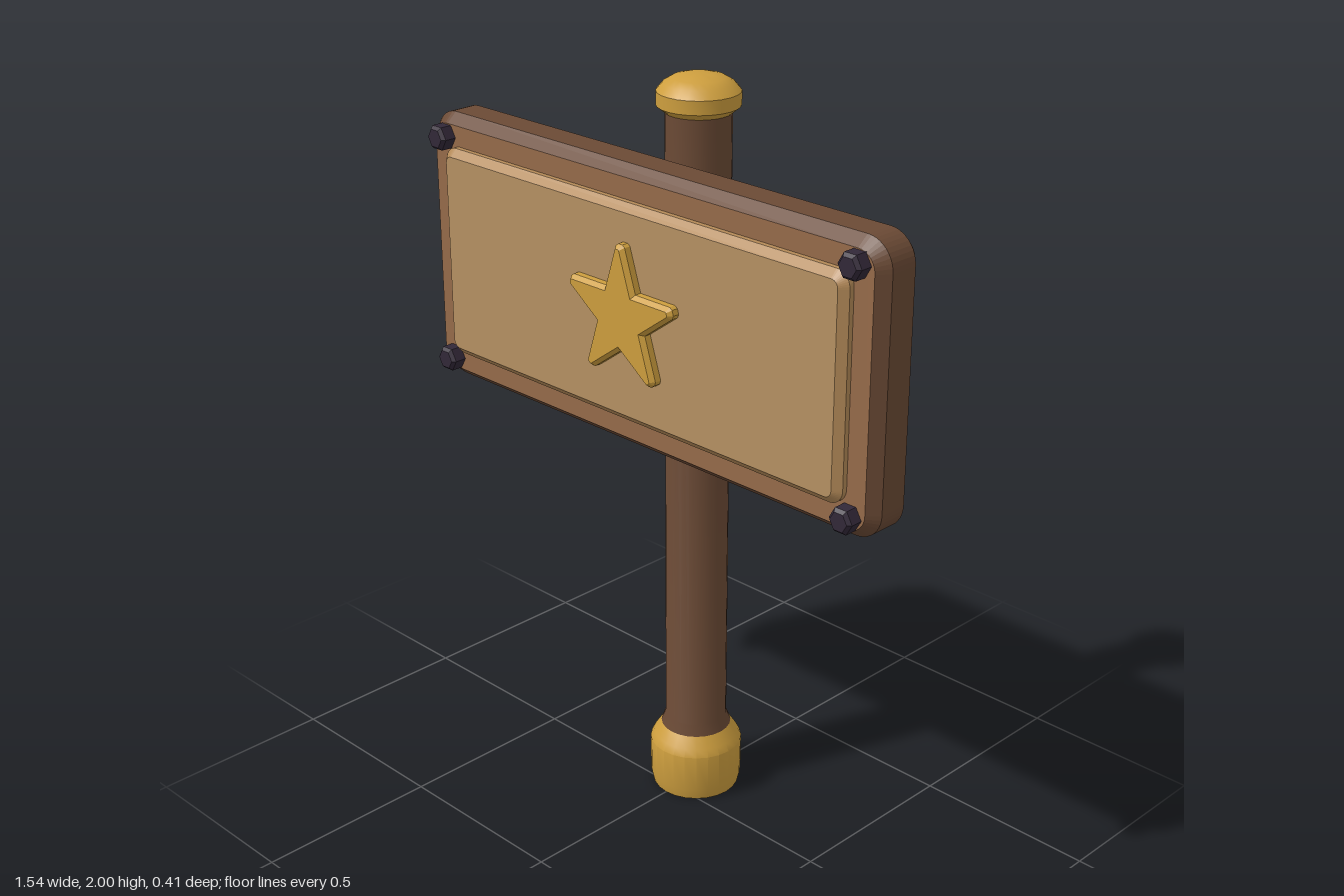
import * as THREE from 'three';
import { toCreasedNormals } from 'three/addons/utils/BufferGeometryUtils.js';

const flat = (name, color) => {
  const m = new THREE.MeshStandardMaterial({ color });
  m.name = name;
  return m;
};

function roundedRect(w, h, r) {
  const x = w / 2, y = h / 2, s = new THREE.Shape();
  s.absarc(x - r, y - r, r, 0, Math.PI / 2);
  s.absarc(-x + r, y - r, r, Math.PI / 2, Math.PI);
  s.absarc(-x + r, -y + r, r, Math.PI, Math.PI * 1.5);
  s.absarc(x - r, -y + r, r, Math.PI * 1.5, Math.PI * 2);
  s.closePath();
  return s;
}

// Five-pointed star with blunted tips
function starShape(outer, inner, blunt) {
  const at = (r, a) => new THREE.Vector2(Math.cos(a) * r, Math.sin(a) * r);
  const pts = [];
  for (let i = 0; i < 5; i++) {
    const a = Math.PI / 2 + (i * Math.PI * 2) / 5;
    const side = Math.atan2(blunt, outer);
    pts.push(at(outer * 0.97, a - side * 1.3), at(outer, a - side * 0.6));
    pts.push(at(outer, a + side * 0.6), at(outer * 0.97, a + side * 1.3));
    pts.push(at(inner, a + Math.PI / 5));
  }
  return new THREE.Shape(pts);
}

// Plate from z0 to z1 whose chamfers stay inside the outline
function plate(shape, z0, z1, chamfer, chamferDepth) {
  const geo = new THREE.ExtrudeGeometry(shape, {
    depth: z1 - z0 - 2 * chamferDepth, bevelEnabled: true, bevelSegments: 1,
    bevelSize: chamfer, bevelOffset: -chamfer, bevelThickness: chamferDepth, curveSegments: 5,
  });
  return geo.translate(0, 0, z0 + chamferDepth);
}

function turned(points, segments) {
  const geo = new THREE.LatheGeometry(points.map(([r, y]) => new THREE.Vector2(r, y)), segments);
  return toCreasedNormals(geo, 0.5);
}

export function createModel() {
  const darkWood = flat('dark wood', 0x6b4a35);
  const wood = flat('wood', 0x966b4a);
  const paleWood = flat('pale wood', 0xb69162);
  const paleEdge = flat('pale wood edge', 0xb48a58);
  const gold = flat('gold', 0xcd9e3e);
  const iron = flat('dark iron', 0x322838);

  const model = new THREE.Group();
  model.name = 'signpost';
  const add = (name, geo, mat, x = 0, y = 0, z = 0, parent = model) => {
    const mesh = new THREE.Mesh(geo, mat);
    mesh.name = name;
    mesh.position.set(x, y, z);
    parent.add(mesh);
    return mesh;
  };

  // Post with a flared foot, gold base and domed cap
  const postZ = -0.08;
  add('post', turned([[0.096, 0.17], [0.095, 0.185], [0.083, 0.215], [0.083, 1.92]], 24), darkWood, 0, 0, postZ);
  add('base', turned([[0, 0], [0.117, 0], [0.124, 0.03], [0.125, 0.135], [0.115, 0.155], [0.095, 0.185], [0, 0.185]], 24),
    gold, 0, 0, postZ);
  add('cap', turned([[0, 1.905], [0.084, 1.905], [0.105, 1.922], [0.105, 1.957], [0.088, 1.977],
    [0.066, 1.99], [0.035, 1.998], [0, 2]], 24), gold, 0, 0, postZ);

  // Board, raised panel and star
  const sign = new THREE.Group();
  sign.name = 'sign';
  sign.position.y = 1.4375;
  model.add(sign);
  add('board', plate(roundedRect(1.545, 0.735, 0.075), 0, 0.138, 0.026, 0.03), [wood, darkWood], 0, 0, 0, sign);
  add('panel', plate(roundedRect(1.38, 0.57, 0.04), 0.11, 0.17, 0.02, 0.018), [paleWood, paleEdge], 0, 0.002, 0, sign);
  add('star', plate(starShape(0.187, 0.087, 0.012), 0.155, 0.2, 0.01, 0.012), gold, 0, 0.006, 0, sign);

  // Chamfered hexagonal corner bolts
  const boltGeo = new THREE.LatheGeometry(
    [[0.035, 0], [0.035, 0.034], [0.026, 0.043], [0, 0.043]].map(([r, y]) => new THREE.Vector2(r, y)), 6);
  const bolt = toCreasedNormals(boltGeo.rotateY(Math.PI / 6 * 3).rotateX(Math.PI / 2), 0.2);
  for (const sx of [-1, 1]) {
    for (const sy of [-1, 1]) add('bolt', bolt, iron, sx * 0.702, sy * 0.308, 0.136, sign);
  }
  return model;
}
